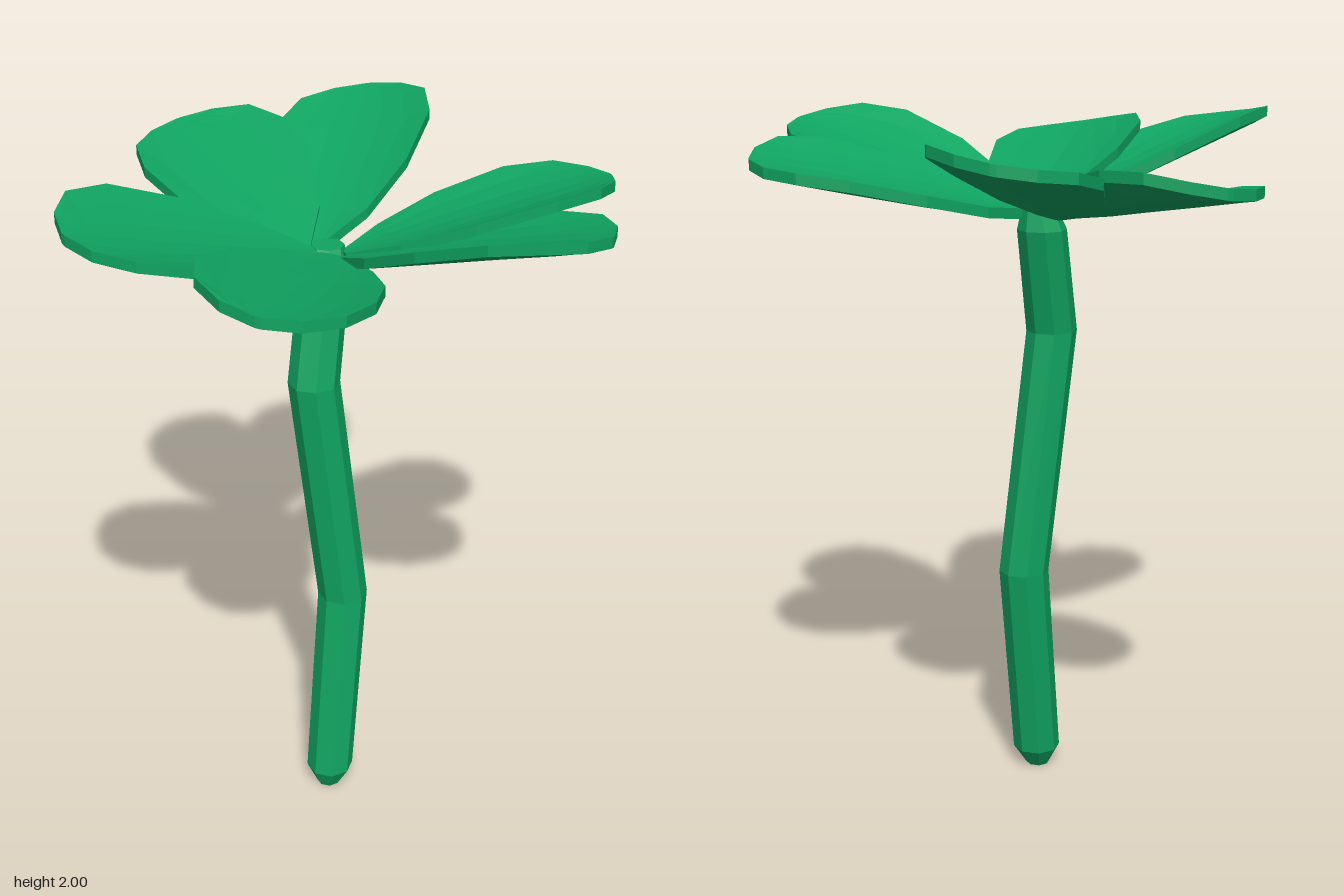
import * as THREE from 'three';

const green = new THREE.MeshStandardMaterial({ color: 0x10a461 });
green.name = 'leafGreen';

// Faceted mesh from a grid of points; wrapping and faces come from the index list
function facetedMesh(name, points, index) {
  const indexed = new THREE.BufferGeometry();
  indexed.setAttribute('position', new THREE.Float32BufferAttribute(points, 3));
  indexed.setIndex(index);
  const geometry = indexed.toNonIndexed();
  geometry.computeVertexNormals();
  const mesh = new THREE.Mesh(geometry, green);
  mesh.name = name;
  return mesh;
}

// Crooked eight-sided stem with tapered ends: [x, y, z, radius]
function createStem() {
  const rings = [
    [0.02, 0, 0.1, 0.035], [0.02, 0.06, 0.092, 0.07], [0.02, 0.66, 0.01, 0.073],
    [-0.037, 1.38, 0.073, 0.073], [-0.043, 1.68, 0.0, 0.07], [-0.04, 1.755, -0.015, 0.045],
  ];
  const sides = 8, points = [], index = [];
  for (const [x, y, z, r] of rings) {
    for (let k = 0; k < sides; k++) {
      const a = (k / sides) * Math.PI * 2 + 0.2;
      points.push(x + r * Math.cos(a), y, z + r * Math.sin(a));
    }
  }
  for (let i = 0; i < rings.length - 1; i++) {
    for (let k = 0; k < sides; k++) {
      const a = i * sides + k, b = i * sides + (k + 1) % sides;
      index.push(a, a + sides, b, b, a + sides, b + sides);
    }
  }
  const top = (rings.length - 1) * sides;
  for (let k = 1; k < sides - 1; k++) {
    index.push(0, k, k + 1, top, top + k + 1, top + k);
  }
  return facetedMesh('stem', points, index);
}

// Half-widths of a leaf lobe along its length: [distance, half-width]
const outline = [[0.01, 0.02], [0.136, 0.122], [0.318, 0.197], [0.527, 0.224],
  [0.66, 0.186], [0.734, 0.1], [0.76, 0.008]];

// Cupped, tilted lobe growing from (baseX, baseZ) at an angle around the stem
function createLobe(name, baseX, baseZ, degrees, slope) {
  const angle = THREE.MathUtils.degToRad(degrees);
  const c = Math.cos(angle), s = Math.sin(angle);
  const columns = 6, stride = columns + 1, rows = outline.length;
  const thickness = 0.03, points = [], index = [];
  for (const drop of [0, thickness]) {
    for (const [d, half] of outline) {
      for (let j = 0; j <= columns; j++) {
        const w = half * (j / columns * 2 - 1);
        const y = 1.74 + slope * d + 0.155 * w + 0.85 * w * w - drop;
        points.push(baseX + d * c - w * s, y, baseZ + d * s + w * c);
      }
    }
  }
  const under = rows * stride;
  // Top and underside
  for (let i = 0; i < rows - 1; i++) {
    for (let j = 0; j < columns; j++) {
      const a = i * stride + j, b = a + 1, e = a + stride, f = e + 1;
      index.push(a, b, e, b, f, e);
      index.push(a + under, e + under, b + under, b + under, e + under, f + under);
    }
  }
  // Rim
  const rim = (a, b) => index.push(a, b, a + under, b, b + under, a + under);
  for (let i = 0; i < rows - 1; i++) {
    rim(i * stride, (i + 1) * stride);
    rim((i + 1) * stride + columns, i * stride + columns);
  }
  for (let j = 0; j < columns; j++) {
    rim(j + 1, j);
    rim((rows - 1) * stride + j, (rows - 1) * stride + j + 1);
  }
  return facetedMesh(name, points, index);
}

export function createModel() {
  const model = new THREE.Group();
  model.name = 'cloverPlant';
  model.add(createStem());

  // Three heart-shaped leaves, each a low lobe overlapping a raised one: [x, z, angle, slope]
  const leaves = {
    leftBackLeaf: [[-0.092, 0.012, 210.5, 0.185], [-0.083, -0.012, 253.5, 0.28]],
    rightBackLeaf: [[0, -0.012, 317.8, 0.205], [0.013, 0.008, 0.5, 0.28]],
    frontLeaf: [[0.008, 0, 76, 0.22], [-0.033, 0.008, 118, 0.305]],
  };
  for (const [name, [low, high]] of Object.entries(leaves)) {
    const leaf = new THREE.Group();
    leaf.name = name;
    leaf.add(createLobe('lowLobe', ...low), createLobe('raisedLobe', ...high));
    model.add(leaf);
  }
  return model;
}
